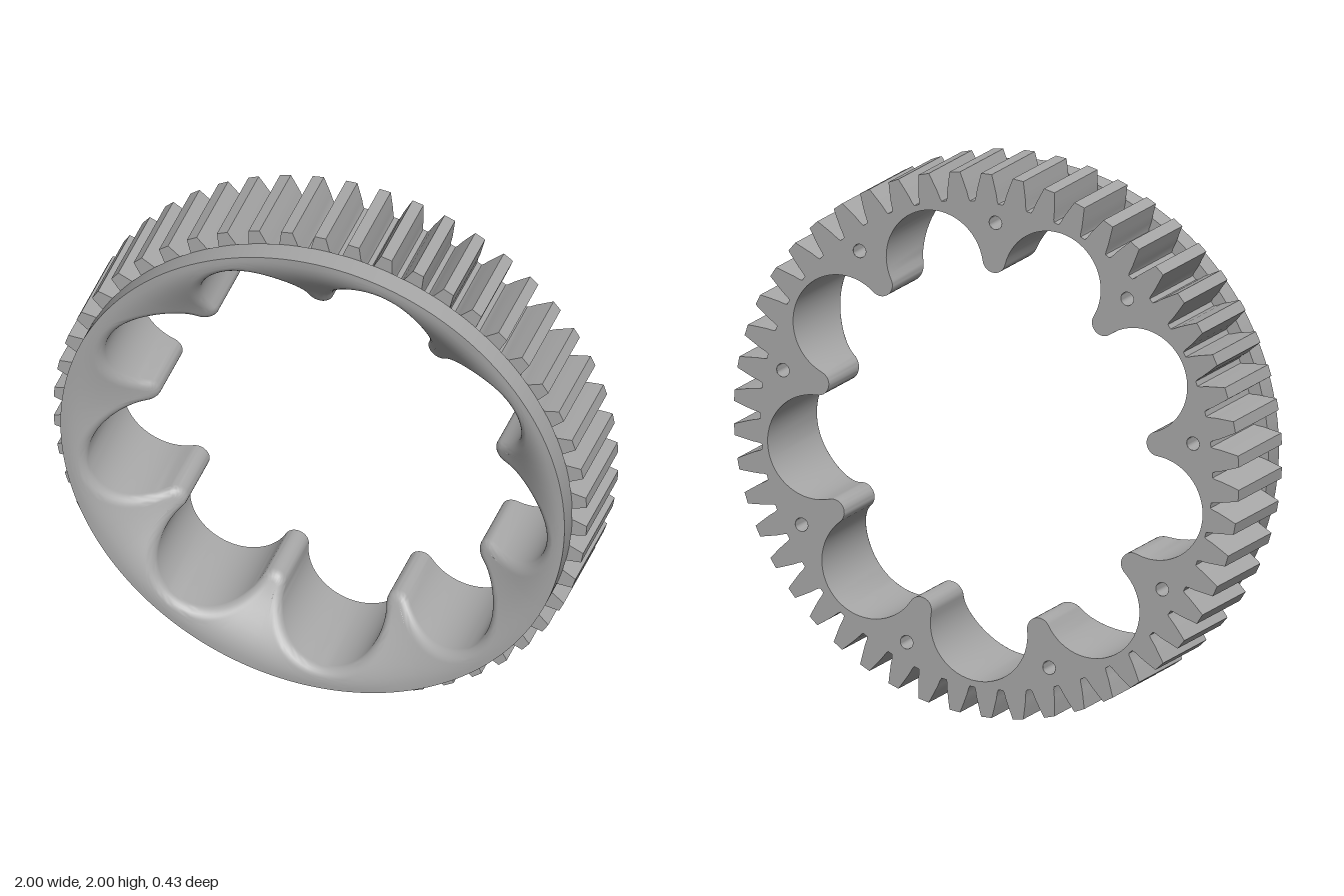
import * as THREE from 'three';
import { toCreasedNormals } from 'three/addons/utils/BufferGeometryUtils.js';

const TEETH = 50, LOBES = 9;
const BACK = -0.215, STEP = 0.13, FRONT = 0.215;
const RIM = 0.945, CORE = 0.88, LIP = 0.03;
const STEP_ANGLE = Math.PI * 2 / LOBES, HALF = STEP_ANGLE / 2;
const OFFSET = THREE.MathUtils.degToRad(17.5);

// Clockwise rotation, angles measured from straight up
const turn = (x, y, a) => [x * Math.cos(a) + y * Math.sin(a), y * Math.cos(a) - x * Math.sin(a)];

// Scalloped bore: lobe arcs joined by rounded spoke tips; each point has a normal into the metal
function boreContour() {
  const lobeY = 0.68, tipR = 0.045;
  const tx = 0.685 * Math.sin(HALF), ty = 0.685 * Math.cos(HALF);
  const lobeR = Math.hypot(tx, ty - lobeY) - tipR;
  const contact = Math.atan2(tx, ty - lobeY);
  const tipSweep = contact - HALF;
  const lobeLen = lobeR * contact, total = lobeLen + tipR * tipSweep;
  const half = [];
  for (let i = 0; i <= 16; i++) {
    const a = contact * i / 16, nx = Math.sin(a), ny = Math.cos(a);
    half.push({ x: lobeR * nx, y: lobeY + lobeR * ny, nx, ny, out: HALF * lobeR * a / total });
  }
  for (let i = 1; i <= 8; i++) {
    const s = tipSweep * i / 8, a = contact + Math.PI - s;
    const dx = Math.sin(a), dy = Math.cos(a);
    half.push({ x: tx + tipR * dx, y: ty + tipR * dy, nx: -dx, ny: -dy, out: HALF * (lobeLen + tipR * s) / total });
  }
  const n = half.length - 1, points = [];
  for (let k = 0; k < LOBES; k++) {
    const a = OFFSET + k * STEP_ANGLE;
    for (let m = -n; m < n; m++) {
      const h = half[Math.abs(m)], sx = m < 0 ? -1 : 1;
      const [x, y] = turn(h.x * sx, h.y, a), [nx, ny] = turn(h.nx * sx, h.ny, a);
      points.push({ x, y, nx, ny, out: a + h.out * sx });
    }
  }
  return points;
}

// Height of the dished front at a given radius
const dish = r => 0.04 + (FRONT - 0.04) * THREE.MathUtils.smoothstep(r, 0.6, 0.93);

// Bore wall, rounded lip, dished front and flange as one loft of closed rings
function bodyGeometry(contour) {
  const rings = [contour.map(p => [p.x, p.y, BACK])];
  for (let i = 0; i <= 6; i++) {
    const c = Math.cos(i / 6 * Math.PI / 2);
    const s = LIP * (1 - c), drop = LIP * (1 - Math.sin(i / 6 * Math.PI / 2));
    rings.push(contour.map(p => {
      const x = p.x + p.nx * s, y = p.y + p.ny * s;
      return [x, y, dish(Math.hypot(x, y)) - drop];
    }));
  }
  const lip = rings[rings.length - 1];
  for (let i = 1; i <= 9; i++) {
    const t = i / 9;
    rings.push(contour.map((p, j) => {
      const x = lip[j][0] * (1 - t) + RIM * Math.sin(p.out) * t;
      const y = lip[j][1] * (1 - t) + RIM * Math.cos(p.out) * t;
      return [x, y, dish(Math.hypot(x, y))];
    }));
  }
  for (const r of [RIM, CORE])
    rings.push(contour.map(p => [r * Math.sin(p.out), r * Math.cos(p.out), STEP]));

  const n = contour.length, index = [];
  for (let i = 0; i < rings.length - 1; i++)
    for (let j = 0; j < n; j++) {
      const a = i * n + j, b = i * n + (j + 1) % n;
      index.push(a, b, a + n, b, b + n, a + n);
    }
  const geo = new THREE.BufferGeometry();
  geo.setAttribute('position', new THREE.Float32BufferAttribute(rings.flat(2), 3));
  geo.setIndex(index);
  return toCreasedNormals(geo, 0.7);
}

// Toothed ring
function gearGeometry() {
  const flank = [[0.895, 0.047], [0.905, 0.043], [0.93, 0.039], [0.962, 0.031], [1, 0.021]];
  const profile = [...flank.map(([r, w]) => [r, -w]), ...flank.slice().reverse()];
  const pts = [];
  for (let i = 0; i < TEETH; i++)
    for (const [r, w] of profile) {
      const a = i / TEETH * Math.PI * 2 + w / r;
      pts.push(new THREE.Vector2(r * Math.sin(a), r * Math.cos(a)));
    }
  const shape = new THREE.Shape(pts);
  shape.holes.push(new THREE.Path().absarc(0, 0, CORE, 0, Math.PI * 2));
  const geo = new THREE.ExtrudeGeometry(shape, { depth: STEP - BACK, bevelEnabled: false, curveSegments: 90 });
  geo.translate(0, 0, BACK);
  return toCreasedNormals(geo, 0.5);
}

export function createModel() {
  const steel = new THREE.MeshStandardMaterial({ color: 0xa8a8a8, side: THREE.DoubleSide });
  steel.name = 'grey metal';
  const model = new THREE.Group();
  model.name = 'scallopedGearRing';
  const add = (name, geo) => {
    const mesh = new THREE.Mesh(geo, steel);
    mesh.name = name;
    model.add(mesh);
    return mesh;
  };

  const contour = boreContour();
  add('scallopedBody', bodyGeometry(contour));
  add('gearTeeth', gearGeometry());

  // Flat back face with a blind screw hole behind each spoke
  const holeR = 0.025, holeDepth = 0.2;
  const face = new THREE.Shape().absarc(0, 0, CORE, 0, Math.PI * 2);
  face.holes.push(new THREE.Path(contour.map(p => new THREE.Vector2(p.x, p.y))));
  const cup = new THREE.LatheGeometry([
    new THREE.Vector2(0, holeDepth), new THREE.Vector2(holeR, holeDepth), new THREE.Vector2(holeR, 0)], 20);
  cup.rotateX(Math.PI / 2);
  const cupGeo = toCreasedNormals(cup, 0.7);
  for (let k = 0; k < LOBES; k++) {
    const [x, y] = turn(0, 0.825, OFFSET + HALF + k * STEP_ANGLE);
    face.holes.push(new THREE.Path().absarc(x, y, holeR, 0, Math.PI * 2));
    add('screwHole', cupGeo).position.set(x, y, BACK);
  }
  const back = new THREE.ShapeGeometry(face, 90);
  // Turn the face to look backwards
  const idx = back.index.array;
  for (let i = 0; i < idx.length; i += 3) [idx[i], idx[i + 1]] = [idx[i + 1], idx[i]];
  back.translate(0, 0, BACK);
  back.computeVertexNormals();
  add('backFace', back);

  model.children.forEach(m => { m.position.y += 1; });
  return model;
}
